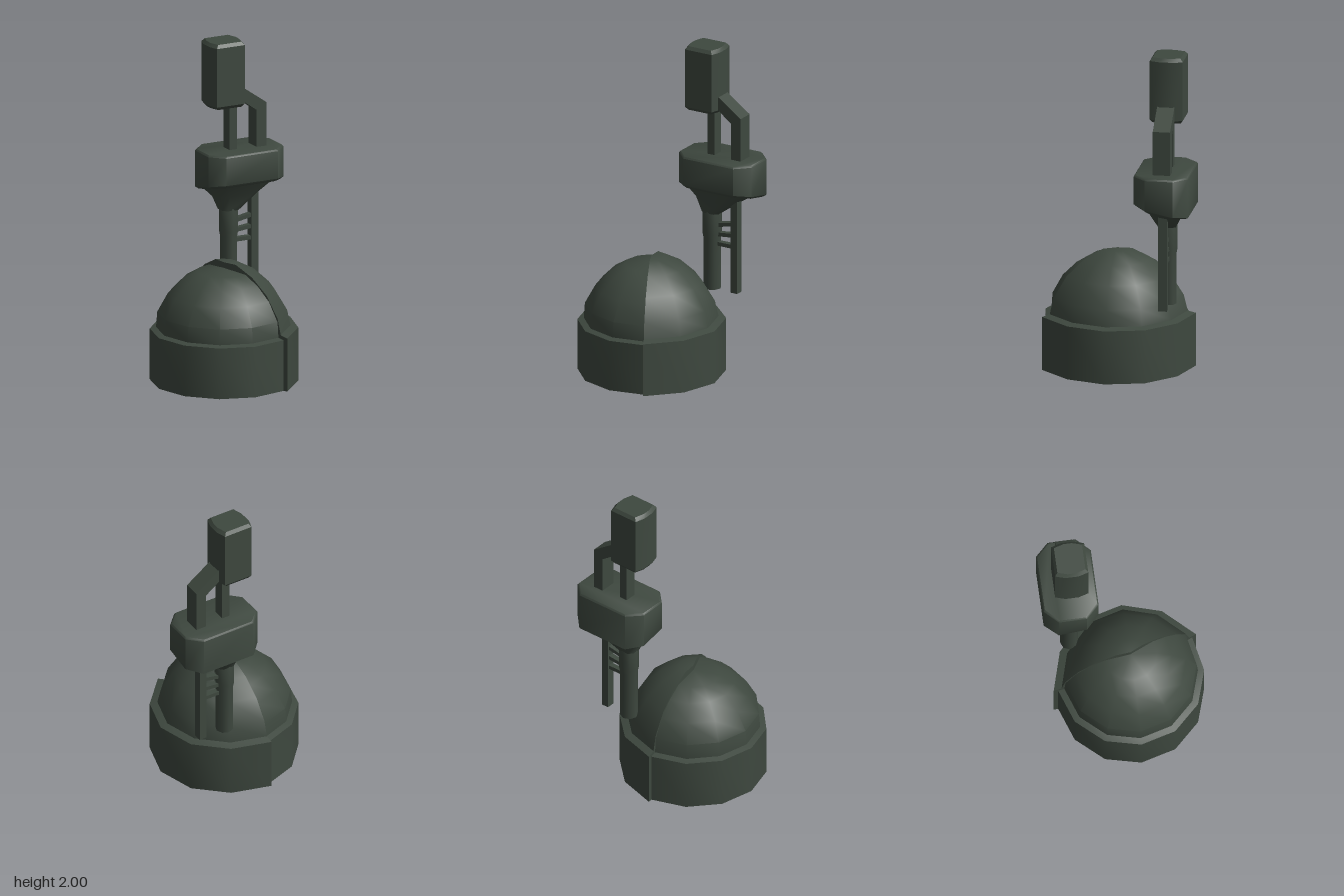
import * as THREE from 'three';
import { toCreasedNormals } from 'three/addons/utils/BufferGeometryUtils.js';

const material = new THREE.MeshStandardMaterial({ color: 0x3e483f });
const sheetMaterial = material.clone();
sheetMaterial.side = THREE.DoubleSide;
const rad = THREE.MathUtils.degToRad;

function add(parent, name, geometry, mat = material, crease = 0.6) {
  const mesh = new THREE.Mesh(toCreasedNormals(geometry, crease), mat);
  mesh.name = name;
  parent.add(mesh);
  return mesh;
}

function addBox(parent, name, size, pos) {
  const mesh = add(parent, name, new THREE.BoxGeometry(...size));
  mesh.position.set(...pos);
  return mesh;
}

// Eight-sided ring: centre cx, half length, half width, corner cuts, height and sideways tilt
function ring({ y, cx = 0, l, w, cl, cw, tilt = 0 }) {
  const a = l - cl, b = w - cw;
  return [[l, -b], [l, b], [a, w], [-a, w], [-l, b], [-l, -b], [-a, -w], [a, -w]]
    .map(([x, z]) => [x + cx, y + z * tilt, z]);
}

// Closed solid through a stack of rings, lowest first
function loft(rings) {
  const n = rings[0].length, index = [];
  for (let r = 0; r < rings.length - 1; r++) {
    for (let i = 0; i < n; i++) {
      const b = r * n + i, b2 = r * n + (i + 1) % n;
      index.push(b, b + n, b2, b2, b + n, b2 + n);
    }
  }
  const top = (rings.length - 1) * n;
  for (let i = 1; i < n - 1; i++) {
    index.push(0, i, i + 1, top, top + i + 1, top + i);
  }
  const geometry = new THREE.BufferGeometry();
  geometry.setAttribute('position', new THREE.Float32BufferAttribute(rings.flat(2), 3));
  geometry.setIndex(index);
  return geometry;
}

// Hollow two-part dome: a front shell and a slightly larger overlapping back shell
function buildDome() {
  const dome = new THREE.Group();
  dome.name = 'dome';
  dome.position.set(-0.005, 0, 0.122);
  const front = [[0.443, 0], [0.443, 0.315], [0.405, 0.325], [0.398, 0.42], [0.335, 0.535],
    [0.25, 0.62], [0.16, 0.675], [0, 0.692]];
  const back = [[0.448, 0], [0.448, 0.33], [0.402, 0.343], [0.38, 0.44], [0.303, 0.57],
    [0.2, 0.665], [0.085, 0.725], [0, 0.727]];
  const vectors = (list) => list.map(([r, y]) => new THREE.Vector2(r, y));
  const seams = [67, 226];

  add(dome, 'frontShell',
    new THREE.LatheGeometry(vectors(front), 7, rad(-134), rad(201)), sheetMaterial);

  // The back shell flares a little toward both seams
  const backShell = new THREE.LatheGeometry(vectors(back), 5, rad(seams[0]), rad(159));
  const p = backShell.attributes.position, rows = back.length;
  for (let i = 0; i < p.count; i++) {
    const column = Math.floor(i / rows);
    const s = column === 0 || column === 5 ? 1.05 : 1;
    p.setX(i, p.getX(i) * s);
    p.setZ(i, p.getZ(i) * s);
  }
  add(dome, 'backShell', backShell, sheetMaterial);

  // Lips closing the step between the shells
  const outer = back.map(([r, y]) => [r * 1.05, y]);
  for (const seam of seams) {
    const shape = new THREE.Shape(vectors([...front, ...outer.reverse()]));
    outer.reverse();
    const lip = add(dome, 'seamLip', new THREE.ShapeGeometry(shape), sheetMaterial);
    lip.rotation.y = rad(seam - 90);
  }
  return dome;
}

// Upright instrument, its long side along local x
function buildMast() {
  const mast = new THREE.Group();
  mast.name = 'mast';
  mast.position.set(-0.013, 0, -0.327);
  mast.rotation.y = 0.72;

  const oval = { l: 0.256, w: 0.166, cl: 0.08, cw: 0.081 };
  add(mast, 'housing', loft([
    ring({ ...oval, l: 0.24, w: 0.15, y: 1.09, tilt: 0.21 }),
    ring({ ...oval, y: 1.105, tilt: 0.21 }),
    ring({ ...oval, y: 1.31 }),
    ring({ ...oval, l: 0.248, w: 0.158, y: 1.32 }),
  ]), material, 0.85);

  add(mast, 'funnel', loft([
    ring({ y: 0.945, cx: -0.07, l: 0.06, w: 0.055, cl: 0.025, cw: 0.025 }),
    ring({ y: 1.03, cx: -0.03, l: 0.13, w: 0.09, cl: 0.05, cw: 0.045, tilt: 0.15 }),
    ring({ y: 1.1, cx: -0.01, l: 0.21, w: 0.135, cl: 0.07, cw: 0.065, tilt: 0.2 }),
  ]), material, 0.85);

  // Eyepiece block with bevelled ends
  const block = { cx: -0.11, l: 0.112, w: 0.1, cl: 0.018, cw: 0.06 };
  add(mast, 'eyepiece', loft([
    ring({ ...block, l: 0.097, w: 0.085, y: 1.595 }),
    ring({ ...block, y: 1.615 }),
    ring({ ...block, y: 1.98 }),
    ring({ ...block, l: 0.097, w: 0.085, y: 2 }),
  ]));
  addBox(mast, 'eyepiecePost', [0.05, 0.34, 0.075], [-0.06, 1.46, 0]);

  // Bent bracket behind the eyepiece
  const bracket = new THREE.Shape([[0.09, 1.3], [0.157, 1.3], [0.157, 1.59], [-0.02, 1.715],
    [-0.02, 1.63], [0.09, 1.55]].map(([x, y]) => new THREE.Vector2(x, y)));
  const bracketGeometry = new THREE.ExtrudeGeometry(bracket, { depth: 0.105, bevelEnabled: false });
  add(mast, 'bracket', bracketGeometry.translate(0, 0, -0.0525));

  // Stepped main tube and thin side rod
  const tube = [[0, 0.46], [0.054, 0.46], [0.054, 0.78], [0.06, 0.81], [0.06, 0.96], [0, 0.96]];
  const mainTube = add(mast, 'mainTube',
    new THREE.LatheGeometry(tube.map(([r, y]) => new THREE.Vector2(r, y)), 8), material, 0.85);
  mainTube.position.x = -0.073;
  addBox(mast, 'sideRod', [0.047, 0.64, 0.052], [0.093, 0.78, 0]);

  // Rungs tying the rod to the tube
  [0.88, 0.815, 0.75].forEach((y, i) => {
    const rung = addBox(mast, 'rung', [0.13, 0.024, 0.035], [0.02, y, 0]);
    rung.rotation.z = 0.2 - i * 0.1;
  });
  return mast;
}

export function createModel() {
  const model = new THREE.Group();
  model.name = 'domeWithMast';
  model.add(buildDome(), buildMast());
  return model;
}
